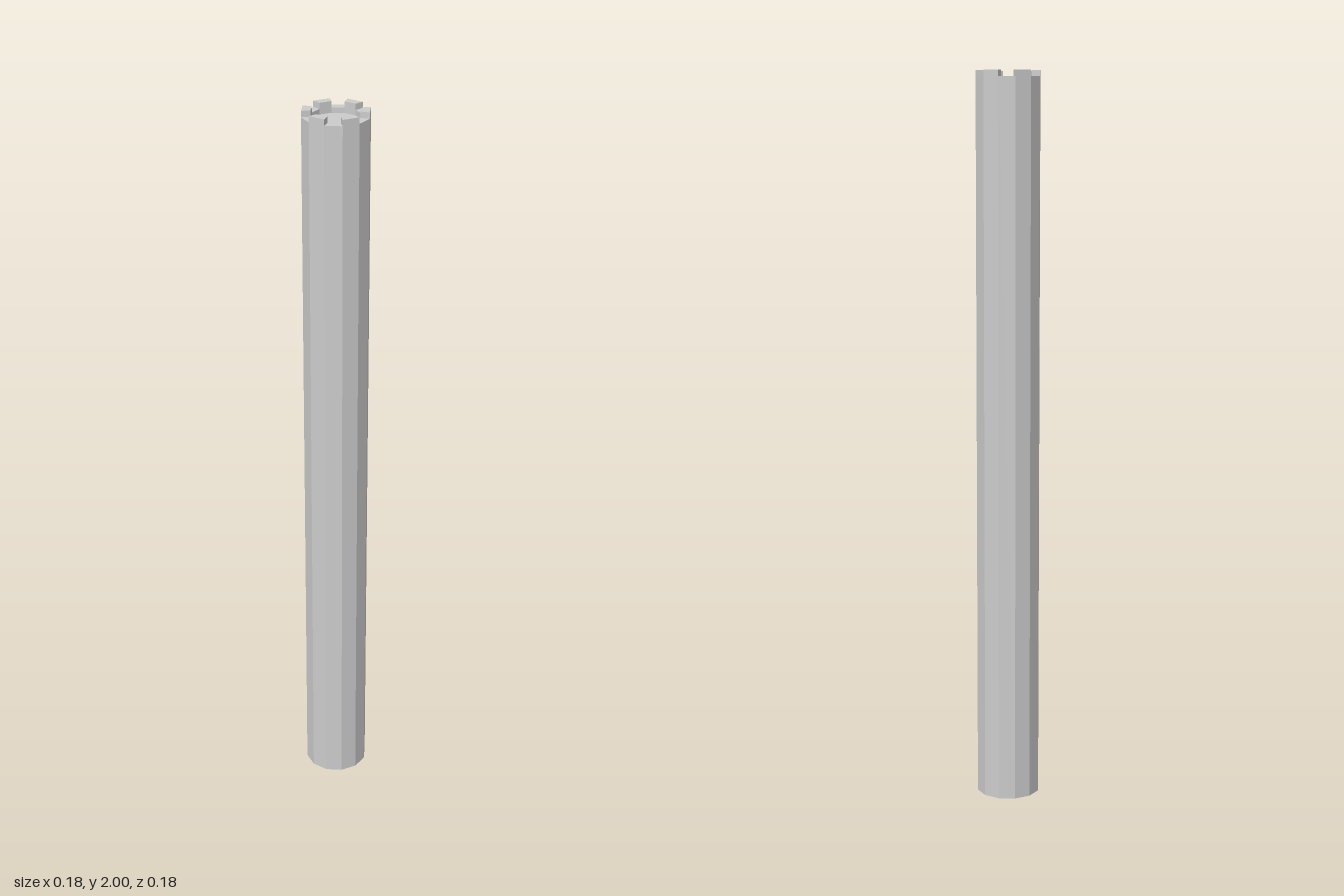
import * as THREE from 'three';

const SIDES = 12;
const OUTER = 0.088, INNER = 0.064;
const TOP = 2, NOTCH = 1.984, FLOOR = 1.97;

export function createModel() {
  const group = new THREE.Group();
  group.name = 'tower';
  const material = new THREE.MeshStandardMaterial({
    color: 0xcccccc, flatShading: true, side: THREE.DoubleSide,
  });

  // Twelve-sided shaft, open below, with a rim and a sunken floor on top
  const profile = [
    [OUTER, 0], [OUTER, NOTCH], [INNER, NOTCH], [INNER, FLOOR], [0, FLOOR],
  ].map(([r, y]) => new THREE.Vector2(r, y));
  const shaft = new THREE.Mesh(new THREE.LatheGeometry(profile, SIDES), material);
  shaft.name = 'shaft';
  group.add(shaft);

  // One battlement block fills a single side of the rim
  const step = (Math.PI * 2) / SIDES;
  const corner = (r, a) => new THREE.Vector2(r * Math.sin(a), -r * Math.cos(a));
  const outline = new THREE.Shape([
    corner(INNER, 0), corner(OUTER, 0), corner(OUTER, step), corner(INNER, step),
  ]);
  const block = new THREE.ExtrudeGeometry(outline, { depth: TOP - NOTCH, bevelEnabled: false });
  block.rotateX(-Math.PI / 2);

  // Blocks stand on every second side
  const battlements = new THREE.Group();
  battlements.name = 'battlements';
  for (let i = 1; i < SIDES; i += 2) {
    const merlon = new THREE.Mesh(block, material);
    merlon.name = 'merlon';
    merlon.position.y = NOTCH;
    merlon.rotation.y = i * step;
    battlements.add(merlon);
  }
  group.add(battlements);

  return group;
}
